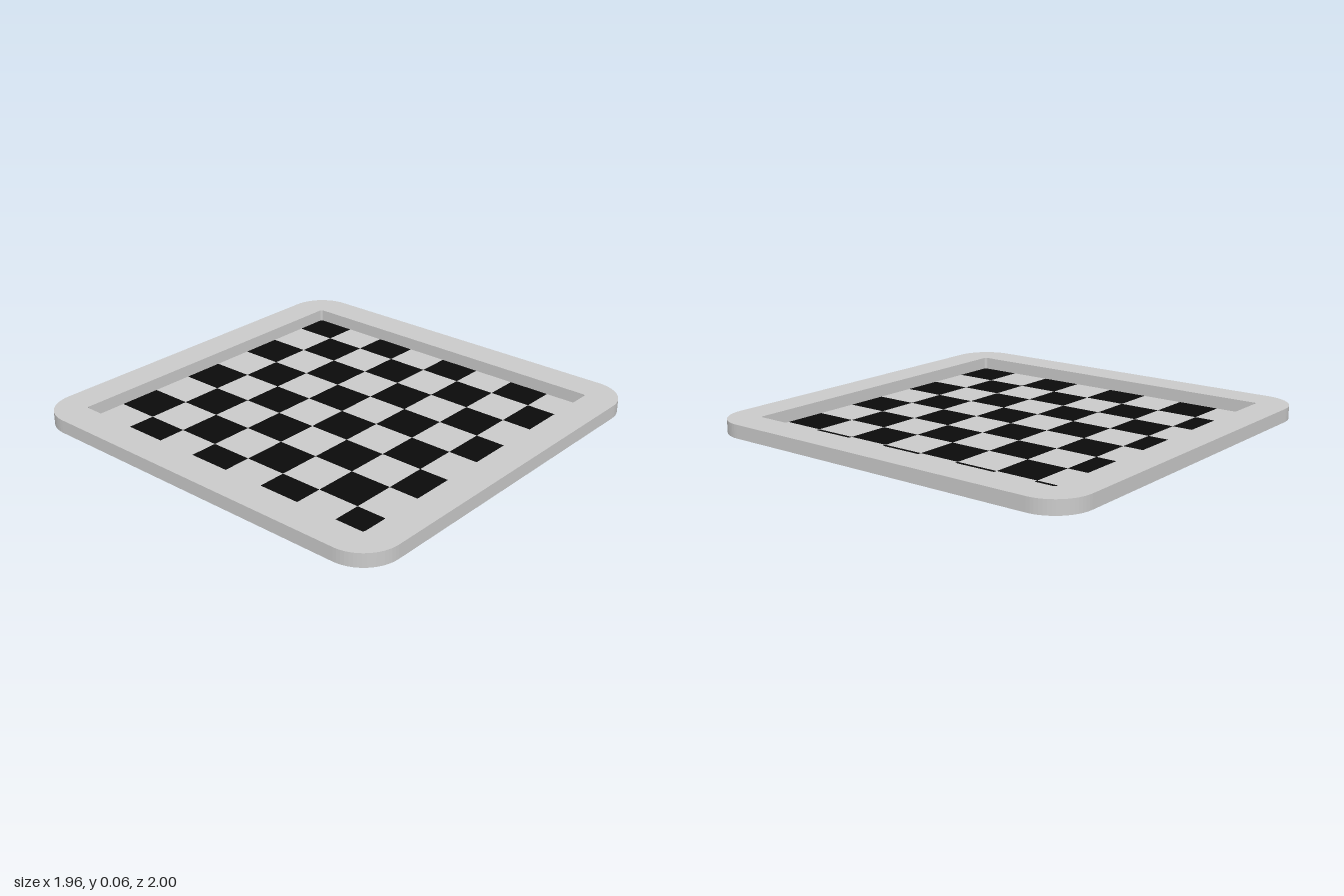
import * as THREE from 'three';

const HEIGHT = 0.065;
const TILE = 0.21;
const TILE_HEIGHT = 0.005;

// Traces a rounded rectangle centred on the origin onto a shape or path
function roundedRect(path, halfX, halfY, r) {
  path.moveTo(halfX, -halfY + r);
  path.lineTo(halfX, halfY - r);
  path.absarc(halfX - r, halfY - r, r, 0, Math.PI / 2);
  path.lineTo(-halfX + r, halfY);
  path.absarc(-halfX + r, halfY - r, r, Math.PI / 2, Math.PI);
  path.lineTo(-halfX, -halfY + r);
  path.absarc(-halfX + r, -halfY + r, r, Math.PI, Math.PI * 1.5);
  path.lineTo(halfX - r, -halfY);
  path.absarc(halfX - r, -halfY + r, r, Math.PI * 1.5, Math.PI * 2);
  return path;
}

export function createModel() {
  const board = new THREE.Group();
  board.name = 'checkerboard';
  const grey = new THREE.MeshStandardMaterial({ color: 0xcccccc });
  const black = new THREE.MeshStandardMaterial({ color: 0x0a0a0a });

  // Raised rim with rounded corners around the playing field
  const outline = roundedRect(new THREE.Shape(), 0.98, 1, 0.18);
  outline.holes.push(roundedRect(new THREE.Path(), 0.82, 0.84, 0.012));
  const rimGeometry = new THREE.ExtrudeGeometry(outline, {
    depth: HEIGHT, bevelEnabled: false, curveSegments: 8,
  });
  rimGeometry.rotateX(-Math.PI / 2);
  const rim = new THREE.Mesh(rimGeometry, grey);
  rim.name = 'rim';
  board.add(rim);

  // Thin floor tiles; the last column is cut short by the rim
  const field = new THREE.Group();
  field.name = 'playingField';
  for (let row = 0; row < 8; row++) {
    for (let col = 0; col < 8; col++) {
      const x0 = -0.817 + col * TILE;
      const x1 = Math.min(x0 + TILE, 0.82);
      const dark = (row + col) % 2 === 1;
      const tile = new THREE.Mesh(
        new THREE.BoxGeometry(x1 - x0, TILE_HEIGHT, TILE), dark ? black : grey);
      tile.position.set((x0 + x1) / 2, TILE_HEIGHT / 2, (row - 3.5) * TILE);
      tile.name = dark ? 'darkSquare' : 'lightSquare';
      field.add(tile);
    }
  }
  board.add(field);
  return board;
}
